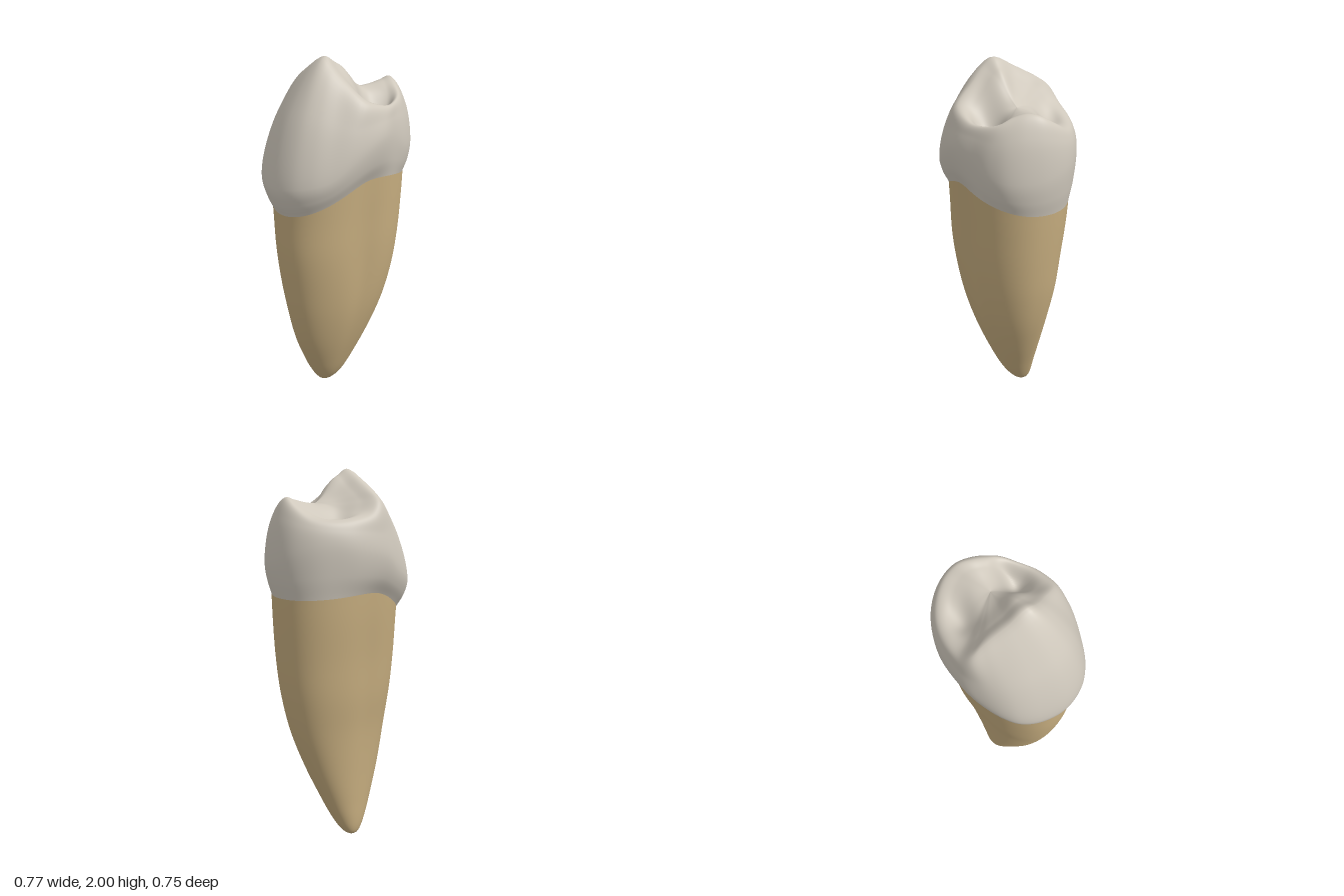
import * as THREE from 'three';

const COLS = 120;
const BUCCAL = Math.PI * 0.75; // direction of the tall cusp, from +x towards +z

// Root sections: height, centre x, centre z, long half-axis, short half-axis
const SECTIONS = [
  [0, -0.08, -0.082, 0.0, 0.0], [0.01, -0.077, -0.079, 0.03, 0.028], [0.04, -0.07, -0.07, 0.06, 0.053],
  [0.1, -0.06, -0.053, 0.098, 0.08], [0.2, -0.048, -0.033, 0.15, 0.107], [0.4, -0.025, -0.008, 0.239, 0.152],
  [0.6, -0.004, 0.002, 0.303, 0.192], [0.8, 0.004, 0.002, 0.344, 0.228], [1.0, 0.007, 0.002, 0.367, 0.25],
  [1.22, 0.008, -0.008, 0.377, 0.266], [1.42, 0.005, -0.01, 0.387, 0.275],
];

// Crown columns: widest point x, y, z, then occlusal rim x, y, z
const COLUMNS = [
  [0.36, 1.54, 0, 0.312, 1.785, -0.04], [0.31, 1.6, 0.09, 0.293, 1.765, 0.04],
  [0.25, 1.62, 0.2, 0.255, 1.765, 0.125], [0.12, 1.54, 0.308, 0.155, 1.805, 0.21],
  [0, 1.45, 0.36, 0.045, 1.895, 0.16], [-0.1, 1.42, 0.375, -0.015, 1.955, 0.125],
  [-0.2, 1.4, 0.355, -0.05, 1.995, 0.085], [-0.3, 1.38, 0.28, -0.07, 1.99, 0.055],
  [-0.37, 1.38, 0.15, -0.11, 1.95, 0.0], [-0.387, 1.4, 0.05, -0.14, 1.915, -0.055],
  [-0.37, 1.43, -0.03, -0.175, 1.875, -0.115], [-0.32, 1.47, -0.13, -0.21, 1.82, -0.175],
  [-0.255, 1.53, -0.218, -0.18, 1.75, -0.235], [-0.1, 1.57, -0.333, -0.08, 1.72, -0.3],
  [0.03, 1.59, -0.372, 0.03, 1.71, -0.337], [0.14, 1.58, -0.376, 0.135, 1.73, -0.333],
  [0.24, 1.56, -0.345, 0.215, 1.78, -0.295], [0.32, 1.53, -0.275, 0.258, 1.825, -0.235],
  [0.37, 1.52, -0.18, 0.275, 1.835, -0.17], [0.383, 1.52, -0.09, 0.295, 1.815, -0.1],
];

// Hollows (and one raised ridge) of the chewing surface: x, z, depth, radius
const HOLLOWS = [
  [0.19, 0.035, 0.11, 0.07], [0.26, -0.01, 0.03, 0.05],
  [0.0, -0.205, 0.045, 0.065], [0.07, -0.23, 0.02, 0.06], [0.055, 0.02, -0.045, 0.07],
];
const CENTRE = new THREE.Vector3(0.12, 1.81, -0.085);

const wrap = (a) => Math.atan2(Math.sin(a), Math.cos(a));
const bell = (d, w) => Math.exp(-(d * d) / (w * w));

// Point between two others, with separate fractions across and upwards
function between(p, q, across, up) {
  const r = p.clone().lerp(q, across);
  r.y = THREE.MathUtils.lerp(p.y, q.y, up);
  return r;
}

// Height of the neck line around the tooth
function neckHeight(angle) {
  const c = Math.cos(angle - BUCCAL), s = Math.sin(angle - BUCCAL);
  return 1.375 - 0.025 * s - (c > 0 ? 0.15 : 0.05) * c * c;
}

// Smoothly interpolated root section
function sectionAt(y) {
  let i = 0;
  while (i < SECTIONS.length - 2 && y > SECTIONS[i + 1][0]) i++;
  const s = (k) => SECTIONS[THREE.MathUtils.clamp(k, 0, SECTIONS.length - 1)];
  const [p, a, b, q] = [s(i - 1), s(i), s(i + 1), s(i + 2)];
  const h = b[0] - a[0], t = (y - a[0]) / h;
  return [1, 2, 3, 4].map((k) => {
    const m0 = ((b[k] - p[k]) / (b[0] - p[0])) * h, m1 = ((q[k] - a[k]) / (q[0] - a[0])) * h;
    const t2 = t * t, t3 = t2 * t;
    return (2 * t3 - 3 * t2 + 1) * a[k] + (t3 - 2 * t2 + t) * m0 + (3 * t2 - 2 * t3) * b[k] + (t3 - t2) * m1;
  });
}

// Point on the root: a squarish oval with a long shallow furrow on each flat side
function rootPoint(y, angle) {
  const [cx, cz, a, b] = sectionAt(y);
  const t = angle - BUCCAL, e = 2.2;
  let r = a < 1e-4 ? 0
    : Math.pow(Math.pow(Math.abs(Math.cos(t)) / a, e) + Math.pow(Math.abs(Math.sin(t)) / b, e), -1 / e);
  const furrow = 0.13 * bell(wrap(angle - 0.82), 0.42) + 0.06 * bell(wrap(angle + 2.35), 0.38);
  r *= 1 - furrow * bell(y - 0.93, 0.42);
  return new THREE.Vector3(cx + r * Math.cos(angle), y, cz + r * Math.sin(angle));
}

// Closed loft: columns of points, each running from bottom to top
function loft(columns) {
  const rows = columns[0].length, n = columns.length;
  const pos = [], index = [];
  for (const col of columns) for (const p of col) pos.push(p.x, p.y, p.z);
  for (let j = 0; j < n; j++) {
    for (let i = 0; i < rows - 1; i++) {
      const a = j * rows + i, b = ((j + 1) % n) * rows + i;
      index.push(a, a + 1, b, b, a + 1, b + 1);
    }
  }
  const g = new THREE.BufferGeometry();
  g.setAttribute('position', new THREE.Float32BufferAttribute(pos, 3));
  g.setIndex(index);
  g.computeVertexNormals();
  return g;
}

export function createModel() {
  const enamel = new THREE.MeshStandardMaterial({ color: 0xcfc8bc });
  enamel.name = 'enamel';
  const dentine = new THREE.MeshStandardMaterial({ color: 0xc6ad7f });
  dentine.name = 'dentine';

  const ring = (k) => new THREE.CatmullRomCurve3(
    COLUMNS.map((c) => new THREE.Vector3(c[k], c[k + 1], c[k + 2])), true);
  const belly = ring(0), rim = ring(3);

  const rootCols = [], crownCols = [];
  for (let j = 0; j < COLS; j++) {
    const wide = belly.getPoint(j / COLS), edge = rim.getPoint(j / COLS);
    const angle = Math.atan2(wide.z, wide.x);
    const neckY = neckHeight(angle), neck = rootPoint(neckY, angle);

    // Root column, with rows packed towards the tip
    const root = [];
    for (let i = 0; i <= 48; i++) root.push(rootPoint(neckY * Math.pow(i / 48, 1.7), angle));
    rootCols.push(root);

    // Crown column: neck, lip, belly, shoulder, rim, then inwards to the centre
    const bulge = 0.57 + 0.09 * Math.max(0, -Math.cos(angle - BUCCAL));
    const path = new THREE.CatmullRomCurve3([
      neck, between(neck, wide, 0.66, 0.42), wide, between(wide, edge, 0.34, bulge), edge,
      between(edge, CENTRE, 0.3, 0.34), between(edge, CENTRE, 0.65, 0.8), CENTRE,
    ]);
    const crown = path.getPoints(70); // rim falls on row 40
    crown.forEach((p, i) => {
      const inside = THREE.MathUtils.smoothstep(i, 39, 49);
      let drop = 0;
      for (const [x, z, depth, radius] of HOLLOWS) drop += depth * bell(Math.hypot(p.x - x, p.z - z), radius);
      p.y -= inside * drop;
    });
    crownCols.push(crown);
  }

  const group = new THREE.Group();
  group.name = 'tooth';
  const rootMesh = new THREE.Mesh(loft(rootCols), dentine);
  rootMesh.name = 'root';
  const crownMesh = new THREE.Mesh(loft(crownCols), enamel);
  crownMesh.name = 'crown';
  group.add(rootMesh, crownMesh);
  return group;
}
